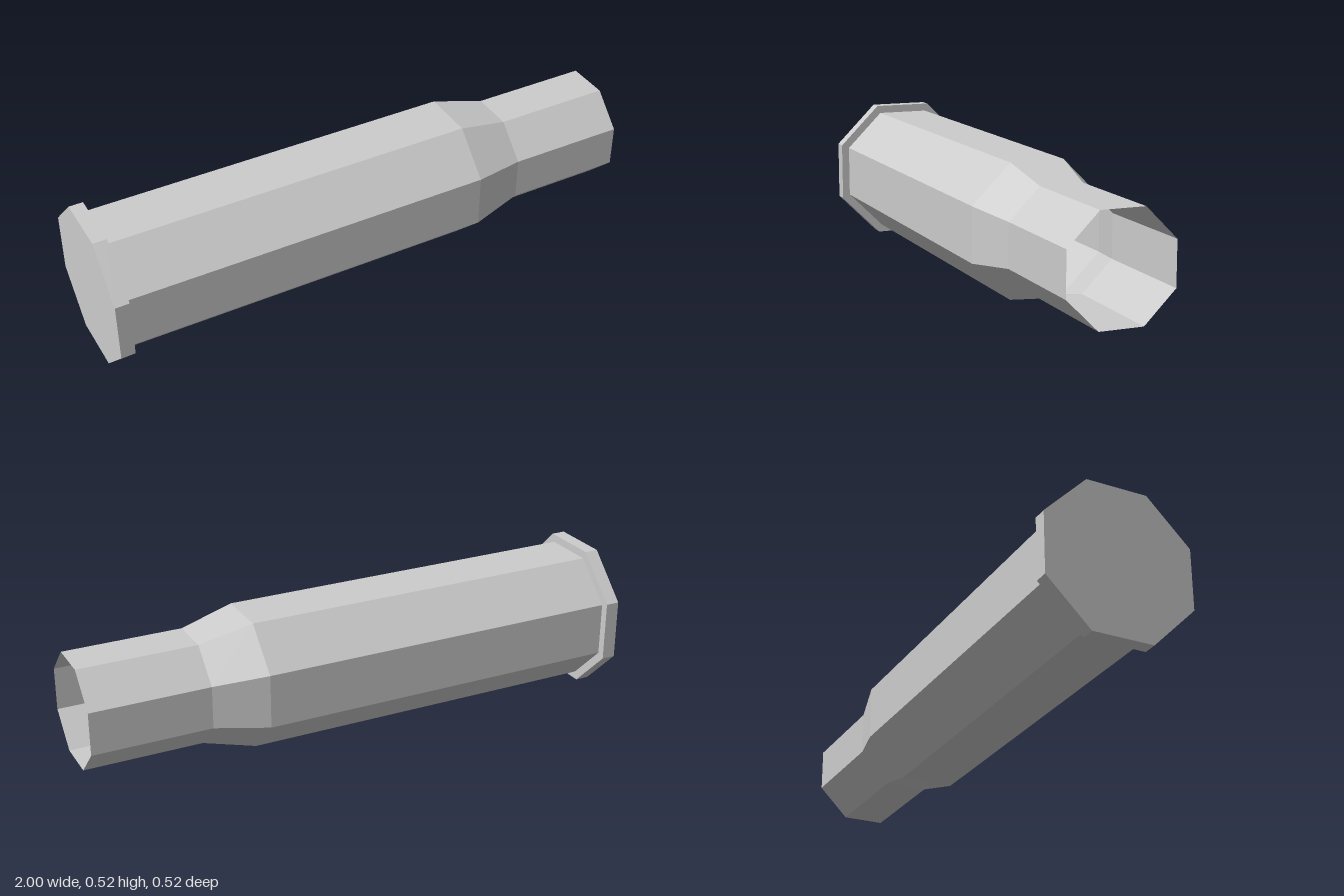
import * as THREE from 'three';

const SIDES = 8;
const CENTRE_Y = 0.262;

// Eight-sided shell along x from [x, distance to flat] points.
function shell(name, profile, material) {
  const toCorner = 1 / Math.cos(Math.PI / SIDES);
  const points = profile.map(([x, r]) => new THREE.Vector2(r * toCorner, x));
  const geometry = new THREE.LatheGeometry(points, SIDES, Math.PI / SIDES);
  geometry.rotateZ(-Math.PI / 2);
  const mesh = new THREE.Mesh(geometry, material);
  mesh.name = name;
  mesh.position.y = CENTRE_Y;
  return mesh;
}

export function createModel() {
  const metal = new THREE.MeshStandardMaterial({
    color: 0xcccccc, flatShading: true, side: THREE.DoubleSide,
  });
  metal.name = 'pale grey metal';

  const model = new THREE.Group();
  model.name = 'cartridgeCase';
  model.add(
    // Closed base disc with its projecting rim
    shell('baseRim', [[-1, 0], [-1, 0.262], [-0.95, 0.262], [-0.95, 0.233]], metal),
    // Long straight body
    shell('body', [[-0.95, 0.233], [0.385, 0.233]], metal),
    // Taper from body to neck
    shell('shoulder', [[0.385, 0.233], [0.575, 0.185]], metal),
    // Open neck
    shell('neck', [[0.575, 0.185], [1, 0.185]], metal),
  );
  return model;
}
